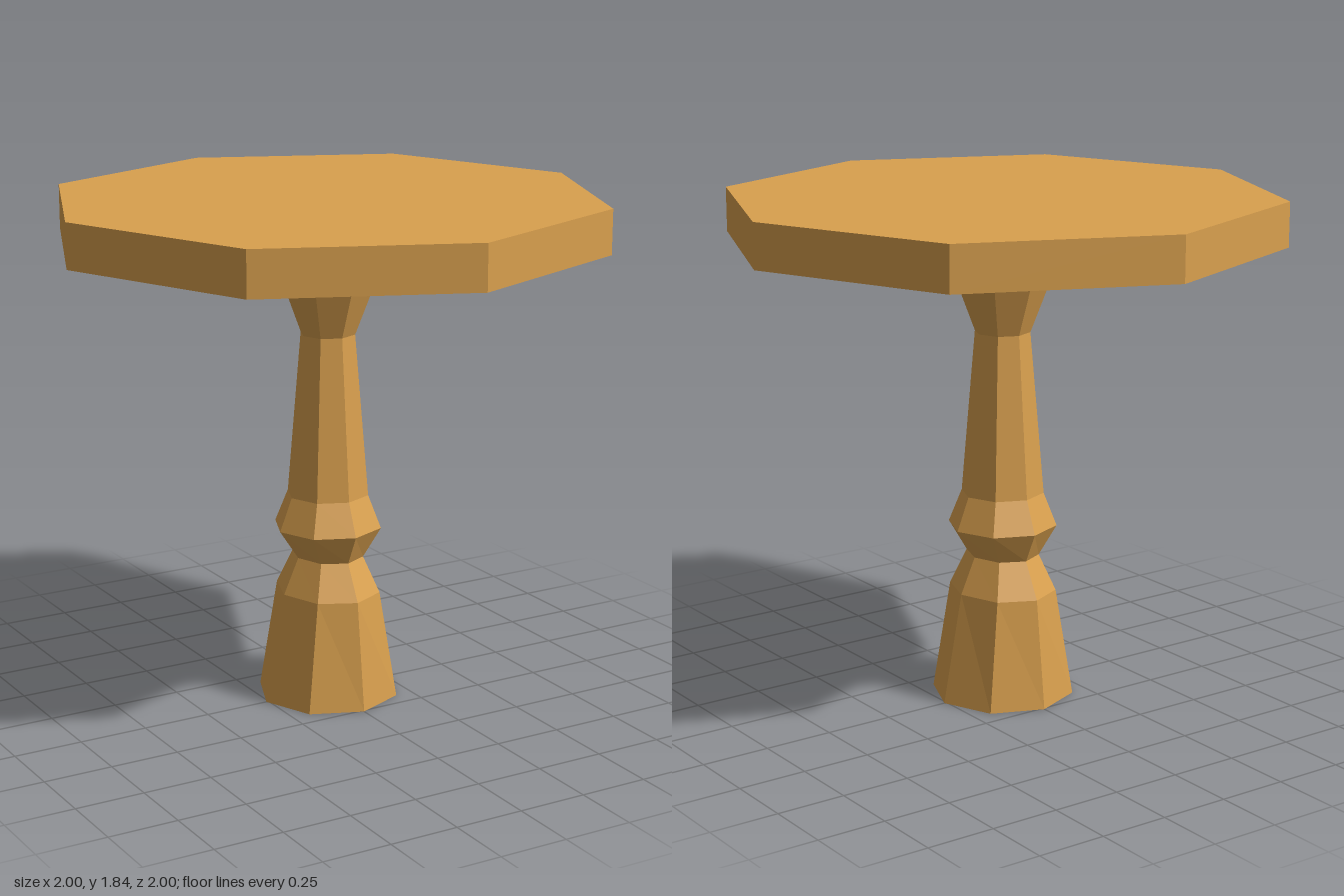
import * as THREE from 'three';

const SIDES = 8;

// Pedestal rings from floor to top: [height, half width in x, half depth in z]
const RINGS = [
  [0, 0.26, 0.26],
  [0.40, 0.183, 0.212],
  [0.53, 0.124, 0.145],
  [0.64, 0.198, 0.198],
  [0.76, 0.15, 0.15],
  [1.35, 0.10, 0.10],
  [1.64, 0.21, 0.21],
  [1.68, 0.178, 0.178],
];

function createPedestal(material) {
  // Closed at both ends by points on the axis
  const profile = [
    new THREE.Vector2(0, RINGS[0][0]),
    ...RINGS.map(([y, rx]) => new THREE.Vector2(rx, y)),
    new THREE.Vector2(0, RINGS.at(-1)[0]),
  ];
  const geometry = new THREE.LatheGeometry(profile, SIDES);

  // Stretch the rings that are deeper than they are wide
  const pos = geometry.attributes.position;
  for (let i = 0; i < pos.count; i++) {
    const ring = RINGS.find(([y]) => Math.abs(y - pos.getY(i)) < 1e-4);
    pos.setZ(i, pos.getZ(i) * ring[2] / ring[1]);
  }
  geometry.computeVertexNormals();

  const pedestal = new THREE.Mesh(geometry, material);
  pedestal.name = 'pedestal';
  return pedestal;
}

function createTabletop(material) {
  const tabletop = new THREE.Mesh(new THREE.CylinderGeometry(1, 1, 0.16, SIDES), material);
  tabletop.position.y = 1.76;
  tabletop.name = 'tabletop';
  return tabletop;
}

export function createModel() {
  const wood = new THREE.MeshStandardMaterial({ color: 0xd9a04e, flatShading: true });
  const table = new THREE.Group();
  table.name = 'pedestalTable';
  table.add(createPedestal(wood), createTabletop(wood));
  return table;
}
